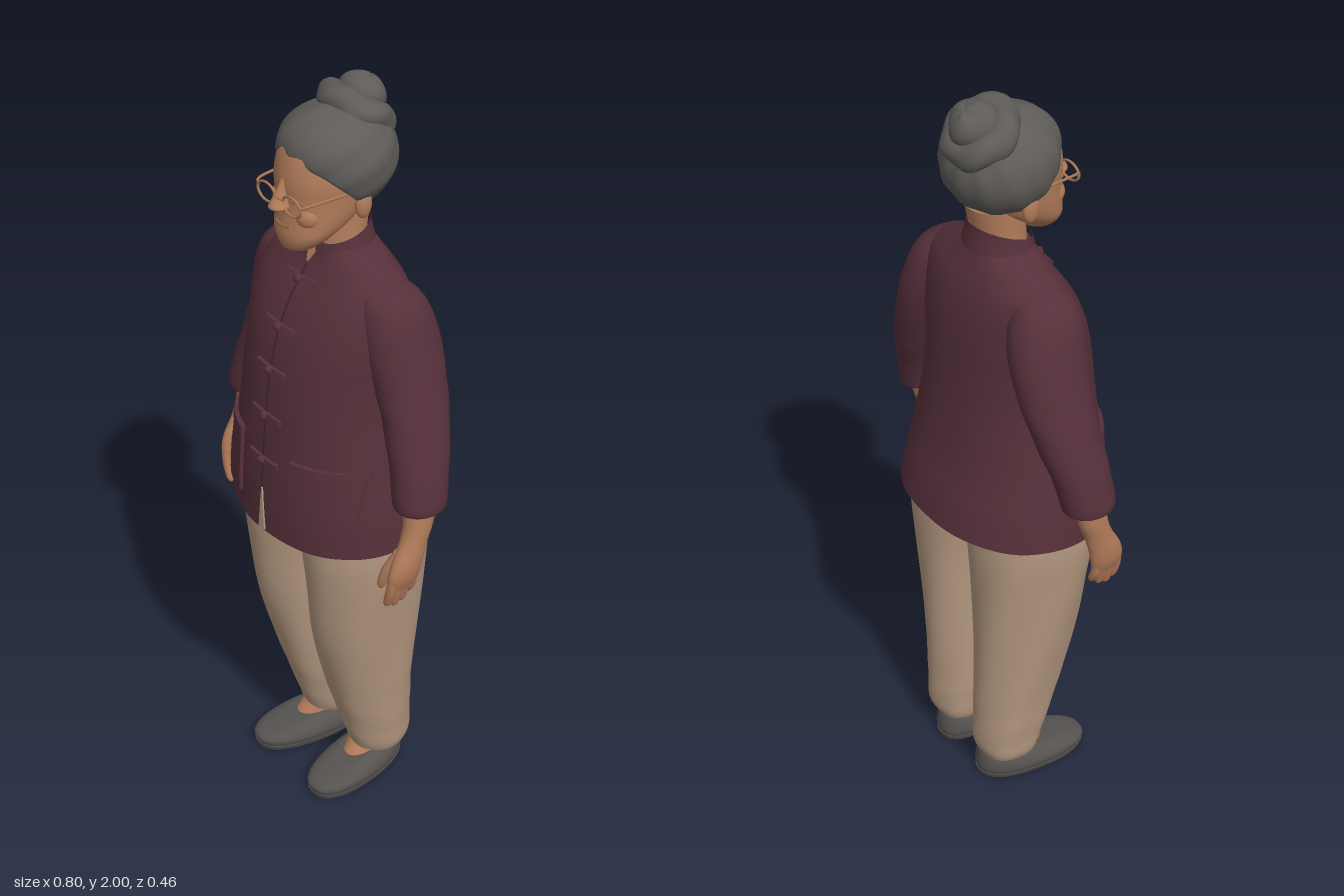
import * as THREE from 'three';
import { mergeVertices } from 'three/addons/utils/BufferGeometryUtils.js';

const mat = (name, color, side = THREE.FrontSide) => {
  const m = new THREE.MeshStandardMaterial({ color, side });
  m.name = name;
  return m;
};

// Section = [x, y, z, rx, rz, tilt]; smooth interpolation between sections
function sectionAt(secs, t) {
  const n = secs.length - 1, i = Math.min(Math.floor(t), n - 1), f = t - i;
  const g = (k, c) => secs[Math.max(0, Math.min(n, k))][c] || 0;
  return [0, 1, 2, 3, 4, 5].map(c => {
    const a = g(i - 1, c), b = g(i, c), d = g(i + 1, c), e = g(i + 2, c);
    return b + 0.5 * f * (d - a + f * (2 * a - 5 * b + 4 * d - e + f * (3 * (b - d) + e - a)));
  });
}

// Skin stacked superellipse rings, listed from bottom to top
function loft(secs, { n = 40, steps = 4, p = 2, gap = 0, caps = true, wave = () => 0 } = {}) {
  const pos = [], idx = [], rows = (secs.length - 1) * steps, cols = gap ? n + 1 : n;
  const pw = v => Math.sign(v) * Math.abs(v) ** (2 / p);
  for (let i = 0; i <= rows; i++) {
    const [x, y, z, rx, rz, tilt] = sectionAt(secs, i / steps);
    for (let j = 0; j < cols; j++) {
      const a = Math.PI / 2 + gap + (j / n) * (2 * Math.PI - 2 * gap);
      const k = 1 + wave(a, y), dz = rz * k * pw(Math.sin(a));
      pos.push(x + rx * k * pw(Math.cos(a)), y - tilt * dz, z + dz);
    }
  }
  for (let i = 0; i < rows; i++) for (let j = 0; j < n; j++) {
    const a = i * cols + j, c = i * cols + (j + 1) % cols, b = a + cols, d = c + cols;
    idx.push(a, b, c, b, d, c);
  }
  if (caps) for (const row of [0, rows]) {
    const start = pos.length / 3, s = secs[row ? secs.length - 1 : 0];
    for (let j = 0; j < cols * 3; j++) pos.push(pos[row * cols * 3 + j]);
    pos.push(s[0], s[1], s[2]);
    for (let j = 0; j < n; j++) {
      const a = start + j, b = start + (j + 1) % cols;
      idx.push(start + cols, row ? b : a, row ? a : b);
    }
  }
  const g = new THREE.BufferGeometry();
  g.setAttribute('position', new THREE.Float32BufferAttribute(pos, 3));
  g.setIndex(idx);
  g.computeVertexNormals();
  return g;
}

// Front surface depth of a loft at (x, y)
const frontOf = (secs, p) => (x, y) => {
  let lo = 0, hi = secs.length - 1;
  for (let i = 0; i < 24; i++) {
    const m = (lo + hi) / 2;
    if (sectionAt(secs, m)[1] < y) lo = m; else hi = m;
  }
  const s = sectionAt(secs, lo);
  return s[2] + s[4] * Math.max(0, 1 - Math.abs((x - s[0]) / s[3]) ** p) ** (1 / p);
};

// Thin plate wrapped onto a front surface
function patch(surf, cx, cy, w, h, d, topScale = 1, bend = 0) {
  const g = new THREE.BoxGeometry(w, h, d, 12, 8, 1), q = g.attributes.position;
  for (let i = 0; i < q.count; i++) {
    const lx = q.getX(i), v = q.getY(i) / h + 0.5;
    const x = cx + lx * (1 + (topScale - 1) * v), y = cy + q.getY(i) + bend * (2 * lx / w) ** 2;
    q.setXYZ(i, x, y, surf(x, y) + q.getZ(i));
  }
  g.computeVertexNormals();
  return g;
}

// Sphere or torus with its vertices moved by a rule, seams welded
function shaped(g, rule) {
  g.deleteAttribute('uv'); g.deleteAttribute('normal');
  const m = mergeVertices(g, 1e-5), q = m.attributes.position, v = new THREE.Vector3();
  for (let i = 0; i < q.count; i++) {
    rule(v.fromBufferAttribute(q, i));
    q.setXYZ(i, v.x, v.y, v.z);
  }
  m.computeVertexNormals();
  return m;
}

const fb = (y, front, back, rx, tilt = 0) => [0, y, (front + back) / 2, rx, (front - back) / 2, tilt];

export function createModel() {
  const root = new THREE.Group();
  root.name = 'elderlyWoman';
  const cloth = mat('maroon cloth', 0x56303a, THREE.DoubleSide), seam = mat('dark maroon seam', 0x43242d);
  const khaki = mat('khaki cloth', 0xb2977f), skin = mat('skin', 0xb27c5a), lip = mat('reddish skin', 0x9c674e);
  const hair = mat('grey hair', 0x5e5b58), shoeM = mat('grey shoe', 0x555250), frame = mat('glasses frame', 0xa67650);
  const add = (name, geo, m, parent = root) => {
    const mesh = new THREE.Mesh(geo, m);
    mesh.name = name;
    parent.add(mesh);
    return mesh;
  };
  const ball = (name, m, x, y, z, a, b, c) =>
    add(name, new THREE.SphereGeometry(1, 24, 16).scale(a, b, c).translate(x, y, z), m);

  // Jacket body with sloping shoulders
  const torso = [
    fb(0.862, 0.224, -0.23, 0.288, 0.06), fb(0.95, 0.222, -0.214, 0.28, 0.03), fb(1.05, 0.216, -0.19, 0.262),
    fb(1.2, 0.203, -0.167, 0.238), fb(1.3, 0.19, -0.158, 0.232), fb(1.4, 0.167, -0.151, 0.235),
    fb(1.48, 0.132, -0.14, 0.232), fb(1.535, 0.096, -0.125, 0.214), fb(1.57, 0.074, -0.11, 0.17),
    fb(1.596, 0.062, -0.098, 0.122), fb(1.615, 0.055, -0.09, 0.086)];
  add('jacketBody', loft(torso, {
    n: 64, p: 2.2, wave: (a, y) => 0.008 * Math.sin(a * 9 + y * 6) * Math.max(0, 1.3 - y)
  }), cloth);
  const chest = frontOf(torso, 2.2);
  add('collar', loft([[0, 1.595, -0.012, 0.098, 0.084, 0.15], [0, 1.625, -0.01, 0.087, 0.079, 0.28],
    [0, 1.645, -0.01, 0.082, 0.077, 0.35]], { gap: 0.2, caps: false }), cloth);
  add('neckOpening', patch(chest, 0, 1.585, 0.004, 0.035, 0.009, 9), skin);
  add('frontSeam', patch(chest, 0, 1.27, 0.005, 0.58, 0.008), seam);
  add('hemSlit', patch(chest, 0, 0.915, 0.023, 0.122, 0.009, 0.1), khaki);
  for (const y of [1.53, 1.42, 1.31, 1.185, 1.06]) {
    add('frogFastening', patch(chest, 0, y, 0.11, 0.016, 0.018), cloth);
    ball('knotButton', cloth, 0, y, chest(0, y) + 0.007, 0.012, 0.012, 0.012);
  }

  // Pelvis, joining the trouser legs
  add('trouserSeat', loft([[0, 0.73, 0, 0.03, 0.04], [0, 0.78, 0, 0.12, 0.07], [0, 0.84, 0, 0.22, 0.11],
    [0, 0.92, 0, 0.25, 0.16]]), khaki);

  for (const s of [1, -1]) {
    const side = s > 0 ? 'left' : 'right';
    const limb = (name, secs, m, opt) => add(side + name, loft(secs.map(([x, ...r]) => [x * s, ...r]), opt), m);

    // Sleeve, with its opening turned inward at the cuff
    limb('Sleeve', [
      [0.337, 1.045, 0, 0.05, 0.055], [0.338, 1.022, 0, 0.058, 0.064], [0.337, 1.04, 0, 0.062, 0.069],
      [0.325, 1.1, -0.008, 0.064, 0.073], [0.292, 1.2, -0.025, 0.068, 0.083], [0.255, 1.3, -0.035, 0.072, 0.092],
      [0.22, 1.4, -0.033, 0.078, 0.1], [0.197, 1.48, -0.026, 0.077, 0.093], [0.184, 1.53, -0.02, 0.058, 0.072],
      [0.165, 1.56, -0.018, 0.02, 0.034]], cloth,
    { p: 2.1, wave: (a, y) => 0.012 * Math.sin(y * 55 + s * 2 * Math.cos(a)) * (y < 1.35 && y > 1.06 ? 1 : 0) });
    add(side + 'Pocket', patch(chest, s * 0.173, 1.0, 0.147, 0.18, 0.02), cloth);
    add(side + 'PocketFlap', patch(chest, s * 0.173, 1.088, 0.152, 0.022, 0.026), cloth);

    // Forearm and hand
    limb('Hand', [[0.345, 0.805, 0.058, 0.016, 0.04], [0.35, 0.84, 0.055, 0.024, 0.046], [0.352, 0.88, 0.046, 0.027, 0.045],
      [0.349, 0.93, 0.026, 0.029, 0.038], [0.346, 0.98, 0.01, 0.033, 0.039], [0.338, 1.06, 0, 0.036, 0.043]], skin);
    [0.75, 0.742, 0.748, 0.765].forEach((tip, i) => {
      const z = 0.09 - i * 0.021;
      limb('Finger', [[0.33, tip, z, 0.005, 0.005], [0.333, tip + 0.012, z, 0.011, 0.011],
        [0.344, 0.8, z, 0.013, 0.013], [0.35, 0.84, z - 0.002, 0.013, 0.013]], skin, { n: 12 });
    });
    limb('Thumb', [[0.305, 0.79, 0.088, 0.005, 0.005], [0.307, 0.805, 0.088, 0.011, 0.012],
      [0.318, 0.85, 0.08, 0.014, 0.016], [0.338, 0.905, 0.055, 0.015, 0.018]], skin, { n: 14 });

    // Trouser leg with soft folds
    limb('TrouserLeg', [
      [0.103, 0.085, -0.067, 0.074, 0.078], [0.103, 0.11, -0.067, 0.083, 0.086], [0.103, 0.16, -0.06, 0.089, 0.095],
      [0.106, 0.3, -0.038, 0.099, 0.118], [0.116, 0.5, -0.015, 0.113, 0.146], [0.123, 0.67, -0.005, 0.126, 0.16],
      [0.124, 0.8, 0, 0.138, 0.17], [0.124, 0.92, 0, 0.135, 0.17]], khaki,
    { n: 56, steps: 6, p: 2.1, wave: (a, y) => 0.02 * Math.sin(a * 5 + y * 9) + 0.016 * Math.sin(y * 50 + 3 * Math.cos(a)) * Math.max(0, 1 - y * 2.2) });

    // Foot and shoe, toe turned outward
    const foot = new THREE.Group();
    foot.name = side + 'Foot';
    foot.position.set(s * 0.106, 0, 0.01);
    foot.rotation.y = s * 0.15;
    root.add(foot);
    add('ankle', loft([[0, 0.05, -0.03, 0.042, 0.08, 0.1], [0, 0.085, -0.045, 0.042, 0.07, 0.2],
      [0, 0.13, -0.075, 0.04, 0.045]]), skin, foot);
    add('shoe', loft([[0, 0.012, 0, 0.071, 0.156], [0, 0.03, 0, 0.076, 0.16], [0, 0.05, -0.008, 0.071, 0.15, 0.05],
      [0, 0.066, -0.022, 0.058, 0.132, 0.11], [0, 0.076, -0.04, 0.046, 0.107, 0.14]], { p: 2.3 }), shoeM, foot);
    add('sole', loft([[0, 0, 0, 0.07, 0.155], [0, 0.014, 0, 0.075, 0.159]], { p: 2.3, steps: 1 }), shoeM, foot);
  }

  // Neck and head
  add('neck', loft([[0, 1.57, -0.015, 0.074, 0.07], [0, 1.64, -0.015, 0.068, 0.066], [0, 1.72, -0.025, 0.068, 0.072]]), skin);
  const skull = [fb(1.616, 0.13, 0.08, 0.022), fb(1.628, 0.145, 0.055, 0.046), fb(1.66, 0.152, 0.015, 0.076),
    fb(1.7, 0.149, -0.05, 0.092), fb(1.75, 0.147, -0.09, 0.1), fb(1.8, 0.149, -0.1, 0.104),
    fb(1.86, 0.137, -0.1, 0.096), fb(1.885, 0.118, -0.08, 0.075), fb(1.9, 0.07, -0.05, 0.04)];
  add('head', loft(skull, { p: 2.1 }), skin);
  const face = frontOf(skull, 2.1);
  add('nose', loft([[0, 1.726, 0.148, 0.014, 0.014], [0, 1.737, 0.156, 0.024, 0.028], [0, 1.75, 0.154, 0.019, 0.027],
    [0, 1.772, 0.147, 0.013, 0.02], [0, 1.805, 0.14, 0.009, 0.01]], { n: 20 }), skin);
  add('mouth', patch(face, 0, 1.686, 0.058, 0.005, 0.008, 0.9, 0.004), lip);
  for (const s of [1, -1]) {
    ball('cheek', skin, s * 0.042, 1.716, 0.104, 0.036, 0.034, 0.036);
    ball('ear', skin, s * 0.108, 1.738, -0.002, 0.014, 0.037, 0.022);
    add('eye', patch(face, s * 0.045, 1.757, 0.03, 0.005, 0.008, 0.8, -0.003), lip);
    add('lensRim', new THREE.TorusGeometry(0.031, 0.0035, 8, 32).scale(1.1, 0.75, 1).translate(s * 0.048, 1.755, 0.158), frame);
    add('glassesTemple', new THREE.TubeGeometry(new THREE.CatmullRomCurve3([
      new THREE.Vector3(s * 0.08, 1.763, 0.158), new THREE.Vector3(s * 0.089, 1.768, 0.153),
      new THREE.Vector3(s * 0.104, 1.772, 0.0)]), 16, 0.0035, 8), frame);
  }
  add('glassesBridge', new THREE.TubeGeometry(new THREE.QuadraticBezierCurve3(new THREE.Vector3(-0.017, 1.76, 0.158),
    new THREE.Vector3(0, 1.772, 0.178), new THREE.Vector3(0.017, 1.76, 0.158)), 10, 0.0035, 8), frame);

  // Swept-back hair, full above the brow and cut flat along the slanting hairline
  add('hair', shaped(new THREE.SphereGeometry(1, 64, 48), v => {
    const a = Math.atan2(v.z, v.x);
    v.multiplyScalar(1 + 0.012 * Math.sin(a * 11 + v.y * 5));
    v.y = Math.max(v.y, -0.54);
    v.applyAxisAngle(new THREE.Vector3(1, 0, 0), -Math.PI / 4);
    if (v.z > 0 && v.y > 0) v.z *= 1 + 0.28 * v.y;
    v.set(v.x * 0.14, 1.824 + v.y * 0.126, -0.01 + v.z * 0.14);
  }), hair);

  // Bun: a lumpy coil with a knot in the middle
  const tilt = v => v.applyAxisAngle(new THREE.Vector3(1, 0, 0), -0.6).add(new THREE.Vector3(-0.01, 1.914, -0.07));
  add('bunCoil', shaped(new THREE.TorusGeometry(0.061, 0.038, 20, 56).rotateX(Math.PI / 2), v => {
    const a = Math.atan2(v.z, v.x);
    v.multiplyScalar(1 + 0.04 * Math.sin(a * 5 + v.y * 60));
    tilt(v);
  }), hair);
  add('bunKnot', shaped(new THREE.SphereGeometry(0.06, 32, 24), v => {
    const a = Math.atan2(v.z, v.x);
    v.multiplyScalar(1 + 0.05 * Math.sin(a * 3 + v.y * 30));
    v.y = v.y * 0.8 + 0.036;
    tilt(v);
  }), hair);
  return root;
}
